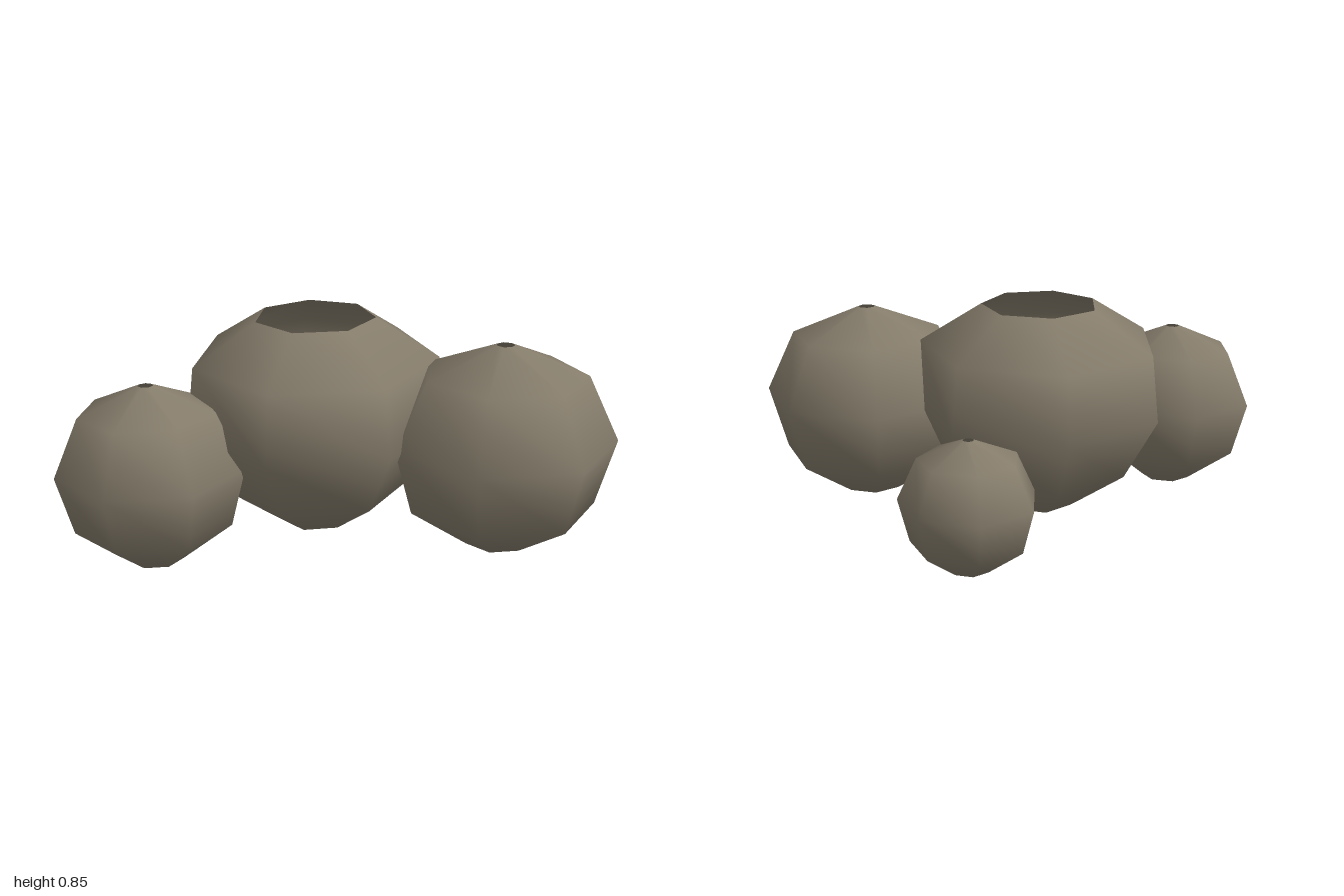
import * as THREE from 'three';

const SIDES = 7;

// Profiles run from the base to the rim: [radius fraction, height fraction]
const WIDE_MOUTH = [[0, 0], [0.3, 0.01], [0.74, 0.21], [1, 0.51], [0.94, 0.82], [0.46, 1]];
const NARROW_MOUTH = [[0, 0], [0.3, 0.01], [0.84, 0.22], [1, 0.545], [0.72, 0.86], [0.08, 1]];

const PODS = [
  { name: 'mainPod', profile: WIDE_MOUTH, x: -0.13, z: 0.075, rx: 0.5, rz: 0.55, bottom: 0.03, top: 0.85 },
  { name: 'leftPod', profile: NARROW_MOUTH, x: 0.575, z: 0.23, rx: 0.425, rz: 0.42, bottom: 0.025, top: 0.8 },
  { name: 'rightPod', profile: NARROW_MOUTH, x: -0.69, z: 0.44, rx: 0.345, rz: 0.33, bottom: 0, top: 0.68 },
  { name: 'backPod', profile: NARROW_MOUTH, x: 0.11, z: -0.535, rx: 0.255, rz: 0.24, bottom: 0.01, top: 0.505 },
];

export function createModel() {
  const group = new THREE.Group();
  group.name = 'podCluster';

  const stone = new THREE.MeshStandardMaterial({ color: 0x857c6b, side: THREE.DoubleSide });
  stone.name = 'stone';

  // Each pod is a hollow seven-sided shell, open at the top
  for (const { name, profile, x, z, rx, rz, bottom, top } of PODS) {
    const points = profile.map(([r, h]) => new THREE.Vector2(r * rx, bottom + h * (top - bottom)));
    const geometry = new THREE.LatheGeometry(points, SIDES, Math.PI / 2);
    geometry.scale(1, 1, rz / rx);
    const pod = new THREE.Mesh(geometry, stone);
    pod.name = name;
    pod.position.set(x, 0, z);
    group.add(pod);
  }
  return group;
}
